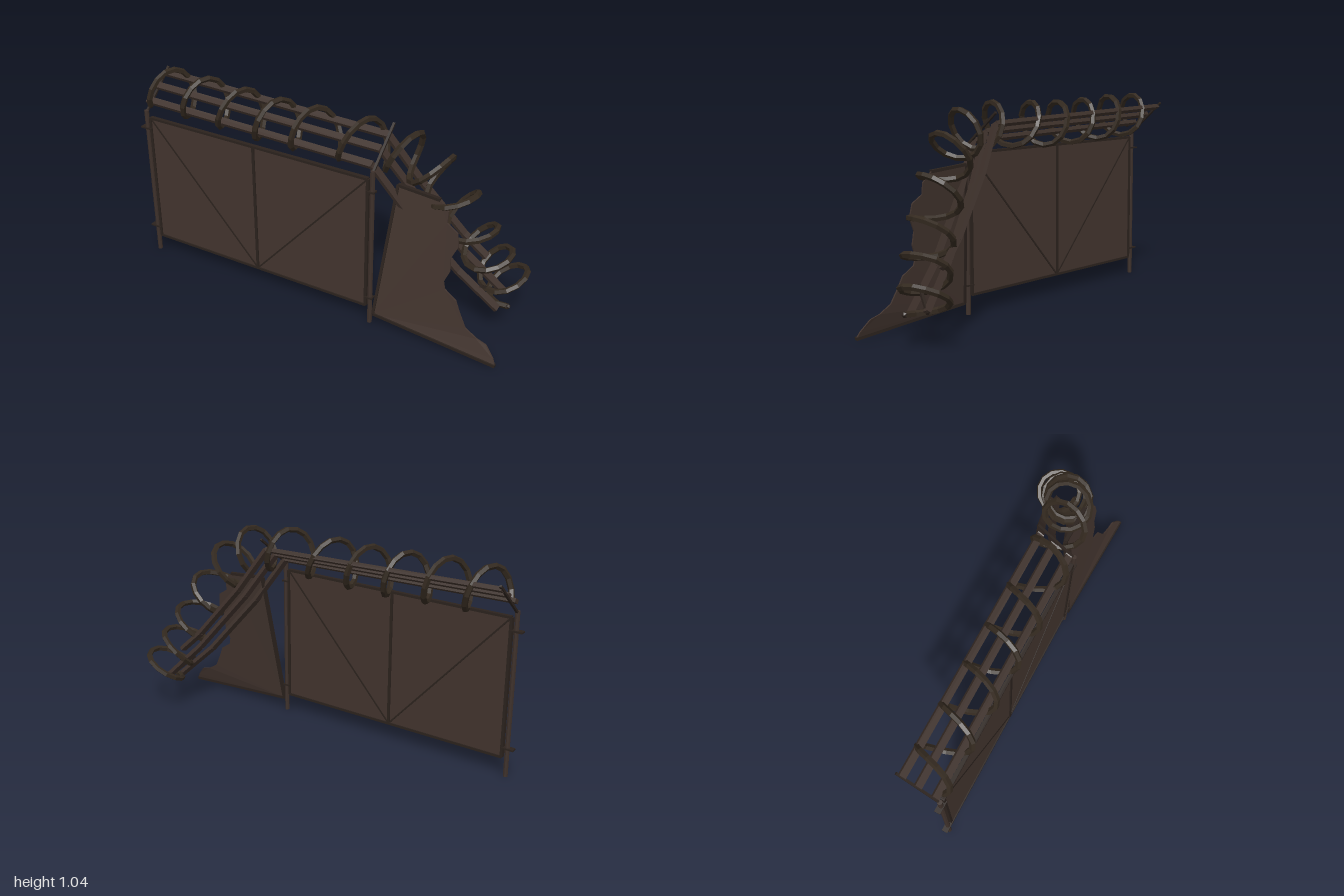
import * as THREE from 'three';

const mat = (name, color) => {
  const m = new THREE.MeshStandardMaterial({ color, flatShading: true });
  m.name = name;
  return m;
};
const V = (x, y, z) => new THREE.Vector3(x, y, z);

export function createModel() {
  const root = new THREE.Group();
  root.name = 'gateWithWireCoil';
  const sheet = mat('rusty sheet', 0x42342e);
  const steel = mat('brown steel', 0x3d302a);
  const dark = mat('dark trim', 0x2b221d);
  const GZ = 0.197;

  const add = (geo, m, name) => {
    const mesh = new THREE.Mesh(geo, m);
    mesh.name = name;
    root.add(mesh);
    return mesh;
  };
  // square bar running from a to b; h is measured along the given normal
  const bar = (a, b, w, h, m, name, normal = V(0, 0, 1)) => {
    const mesh = add(new THREE.BoxGeometry(w, h, a.distanceTo(b)), m, name);
    mesh.position.copy(a).lerp(b, 0.5);
    mesh.up.copy(normal);
    mesh.lookAt(b);
    return mesh;
  };

  // posts with hinges
  for (const [x, h, h0, h1] of [[-0.965, 0.82, -1.0, -0.935], [0.322, 0.83, 0.295, 0.338]]) {
    const post = add(new THREE.CylinderGeometry(0.012, 0.012, h, 8), steel, 'post');
    post.position.set(x, h / 2, GZ);
    for (const y of [0.145, 0.725]) {
      bar(V(h0, y, GZ), V(h1, y, GZ), 0.008, 0.03, dark, 'hinge');
    }
    // sloping arm that carries the rails
    bar(V(x, h - 0.01, GZ), V(x, 0.985, 0.0), 0.01, 0.012, dark, 'railArm', V(1, 0, 0));
  }

  // gate leaves, frame and braces
  const L = -0.94, R = 0.3, B = 0.095, T = 0.785, C = (L + R) / 2;
  const panel = add(new THREE.BoxGeometry(R - L, T - B, 0.008), sheet, 'gateSheet');
  panel.position.set(C, (T + B) / 2, GZ);
  for (const y of [B, T]) bar(V(L, y, GZ), V(R, y, GZ), 0.012, 0.02, dark, 'gateFrame');
  for (const x of [L, C, R]) bar(V(x, B, GZ), V(x, T, GZ), 0.014, 0.02, dark, 'gateUpright');
  for (const x of [L, R]) bar(V(x, T, GZ), V(C, B, GZ), 0.008, 0.014, dark, 'gateBrace');

  // three rails along the gate, bending down along the broken side
  const rails = [
    [V(-0.965, 0.87, 0.178), V(0.305, 0.845, 0.172), V(0.45, 0.62, 0.108), V(0.69, 0.325, 0.026), V(0.88, 0.145, -0.025)],
    [V(-0.965, 0.918, 0.098), V(0.305, 0.89, 0.092), V(0.45, 0.665, 0.022), V(0.69, 0.36, -0.072), V(0.87, 0.175, -0.13)],
    [V(-0.965, 0.962, 0.025), V(0.305, 0.93, 0.022), V(0.45, 0.71, -0.035), V(0.66, 0.45, -0.098), V(0.77, 0.345, -0.122)],
  ];
  for (const pts of rails) {
    for (let i = 0; i < pts.length - 1; i++) {
      const n = i === 0 ? V(0, 0.85, 0.5) : V(0.75, 0.6, 0.3);
      bar(pts[i], pts[i + 1], 0.034, 0.02, steel, 'rail', n);
    }
  }
  bar(V(0.8, 0.26, 0.0), V(0.87, 0.17, -0.135), 0.014, 0.014, dark, 'railCrossBar', V(1, 0, 0));

  // wire coil: a helix wound round a smooth axis, one axis point per turn
  const axis = new THREE.CatmullRomCurve3([
    V(-1.06, 0.92, 0.115), V(-0.86, 0.92, 0.115), V(-0.655, 0.92, 0.115), V(-0.44, 0.91, 0.115),
    V(-0.235, 0.905, 0.115), V(-0.035, 0.91, 0.115), V(0.235, 0.92, 0.11), V(0.44, 0.9, 0.085),
    V(0.555, 0.825, 0.05), V(0.66, 0.67, 0.01), V(0.75, 0.5, -0.03), V(0.82, 0.36, -0.075),
    V(0.88, 0.245, -0.13), V(0.91, 0.15, -0.16),
  ]);
  const START = -0.1, END = 11.9, RAD = 0.107;
  class Coil extends THREE.Curve {
    getPoint(u, target = new THREE.Vector3()) {
      const t = START + (END - START) * u;
      const s = (t + 0.75) / 13;
      const tan = axis.getTangent(s);
      const side = tan.clone().cross(V(0, 1, 0)).normalize();
      const up = side.clone().cross(tan);
      const a = t * Math.PI * 2;
      return target.copy(axis.getPoint(s))
        .addScaledVector(side, RAD * Math.cos(a))
        .addScaledVector(up, RAD * Math.sin(a));
    }
  }
  const coil = new Coil();
  coil.arcLengthDivisions = 1200;
  add(new THREE.TubeGeometry(coil, 156, 0.015, 5, false), dark, 'wireCoil').material = mat('coil wire', 0x33291f);
  // closed ends of the wire
  for (const u of [0, 1]) {
    const cap = add(new THREE.IcosahedronGeometry(0.015, 0), dark, 'wireEnd');
    cap.position.copy(coil.getPoint(u));
  }

  // torn side sheet leaning back
  const outline = [
    [0.345, 0.06], [0.98, 0.015], [0.965, 0.045], [0.92, 0.095], [0.87, 0.11], [0.81, 0.145],
    [0.775, 0.21], [0.75, 0.265], [0.69, 0.305], [0.68, 0.34], [0.705, 0.4], [0.7, 0.465],
    [0.73, 0.53], [0.72, 0.595], [0.665, 0.63], [0.665, 0.685], [0.62, 0.73], [0.41, 0.745],
  ];
  const leanZ = (y) => 0.202 - 0.12 * y + Math.max(0, 0.1 - y) * 0.2;
  const torn = new THREE.ExtrudeGeometry(
    new THREE.Shape(outline.map(([x, y]) => new THREE.Vector2(x, y))),
    { depth: 0.008, bevelEnabled: false });
  const p = torn.attributes.position;
  for (let i = 0; i < p.count; i++) p.setZ(i, p.getZ(i) - 0.004 + leanZ(p.getY(i)));
  torn.computeVertexNormals();
  add(torn, sheet, 'tornSheet');
  const on = ([x, y]) => V(x, y, leanZ(y));
  for (const [a, b] of [[0, 1], [17, 0], [16, 17]]) {
    bar(on(outline[a]), on(outline[b]), 0.014, 0.018, dark, 'tornSheetFrame');
  }
  return root;
}
